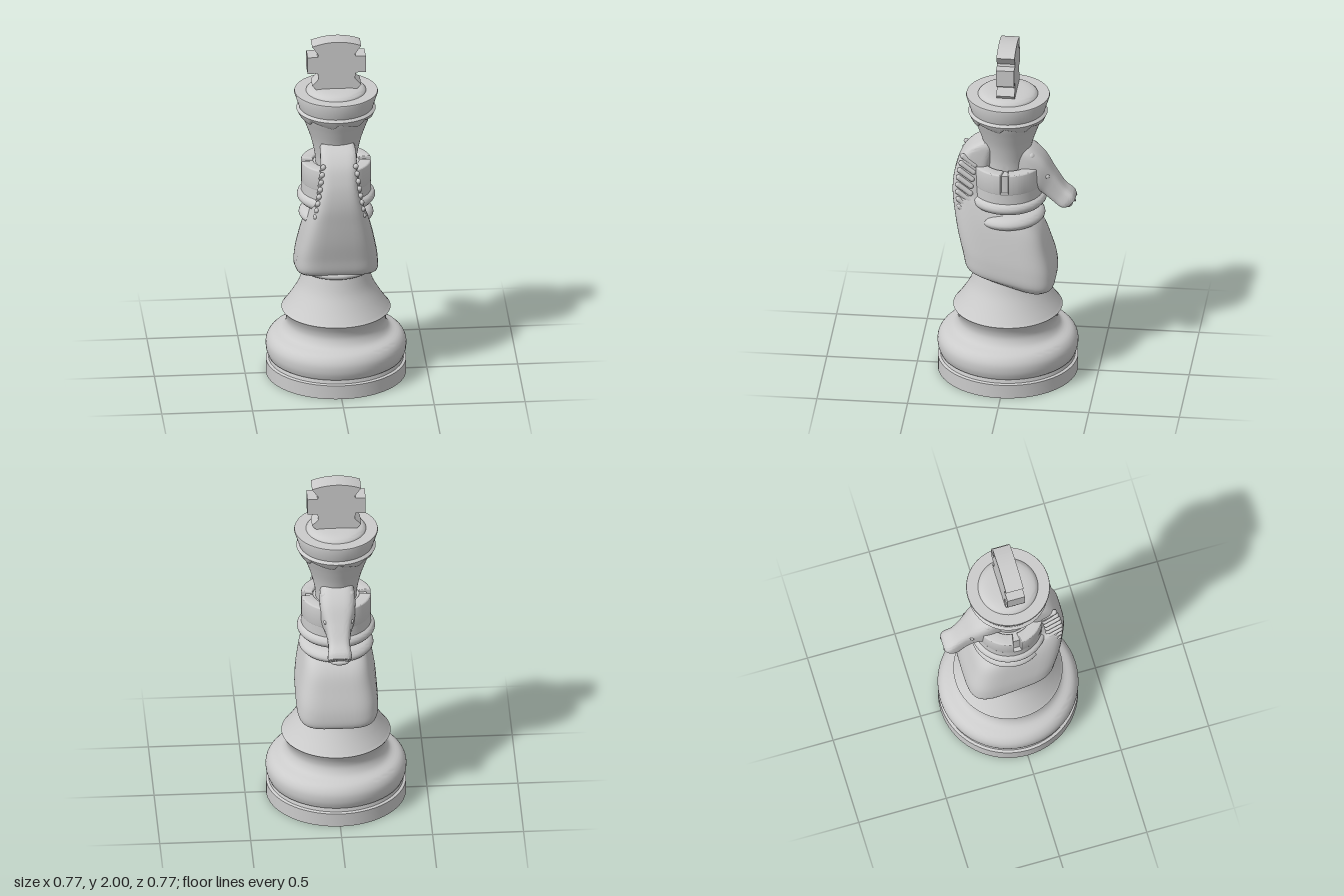
import * as THREE from 'three';
import { toCreasedNormals } from 'three/addons/utils/BufferGeometryUtils.js';

const material = new THREE.MeshStandardMaterial({ color: 0xcccccc });

export function createModel() {
  const model = new THREE.Group();
  const add = (name, geometry, x = 0, y = 0, z = 0) => {
    const mesh = new THREE.Mesh(geometry, material);
    mesh.name = name;
    mesh.position.set(x, y, z);
    model.add(mesh);
    return mesh;
  };
  const lathe = (points, segments = 72) => toCreasedNormals(
    new THREE.LatheGeometry(points.map(p => new THREE.Vector2(...p)), segments), 0.6);

  // Smooth curve through profile points
  const smooth = (points, n) => new THREE.SplineCurve(points.map(p => new THREE.Vector2(...p)))
    .getPoints(n).map(p => [p.x, p.y]);

  // Loft of rounded-square sections: [z, y of one edge, z, y of opposite edge, half width]
  function loft(sections, steps, power) {
    const N = 48, pos = [], idx = [];
    const edgeA = new THREE.CatmullRomCurve3(sections.map(s => new THREE.Vector3(s[4], s[1], s[0])));
    const edgeB = new THREE.CatmullRomCurve3(sections.map(s => new THREE.Vector3(s[4], s[3], s[2])));
    const bend = v => Math.sign(v) * Math.abs(v) ** (2 / power);
    for (let i = 0; i <= steps; i++) {
      const a = edgeA.getPoint(i / steps), b = edgeB.getPoint(i / steps);
      for (let j = 0; j < N; j++) {
        const t = j / N * Math.PI * 2, s = bend(Math.sin(t));
        pos.push(a.x * bend(Math.cos(t)),
          (a.y + b.y) / 2 + s * (a.y - b.y) / 2,
          (a.z + b.z) / 2 + s * (a.z - b.z) / 2);
      }
    }
    for (let i = 0; i < steps; i++) for (let j = 0; j < N; j++) {
      const k = (j + 1) % N, p = i * N, q = p + N;
      idx.push(p + j, q + j, p + k, p + k, q + j, q + k);
    }
    const last = steps * N;
    for (let j = 1; j < N - 1; j++) idx.push(0, j, j + 1, last, last + j + 1, last + j);
    const g = new THREE.BufferGeometry();
    g.setAttribute('position', new THREE.Float32BufferAttribute(pos, 3));
    g.setIndex(idx);
    return toCreasedNormals(g, 0.7);
  }

  // Turned base
  add('base', lathe([
    [0, 0], [0.385, 0], [0.385, 0.08], [0.37, 0.085], [0.365, 0.105],
    ...smooth([[0.372, 0.11], [0.385, 0.15], [0.383, 0.2], [0.355, 0.24], [0.3, 0.265],
      [0.275, 0.305], [0.277, 0.345], [0.295, 0.385]], 28),
    [0.3, 0.39],
    ...smooth([[0.295, 0.395], [0.25, 0.46], [0.205, 0.54], [0.178, 0.63]], 12),
    ...smooth([[0.2, 0.635], [0.217, 0.65], [0.212, 0.67], [0.18, 0.68]], 8), [0, 0.68],
  ]));

  // Horse body and neck, from the sloping underside up to the poll
  add('horseBody', loft([
    [0.195, 0.66, -0.22, 0.53, 0.195],
    [0.222, 0.685, -0.262, 0.56, 0.222],
    [0.242, 0.77, -0.265, 0.64, 0.222],
    [0.268, 0.88, -0.235, 0.76, 0.203],
    [0.288, 1.0, -0.19, 0.88, 0.175],
    [0.3, 1.1, -0.12, 0.95, 0.145],
    [0.297, 1.18, 0.08, 1.04, 0.115],
    [0.283, 1.25, 0.1, 1.2, 0.102],
    [0.25, 1.33, 0.08, 1.33, 0.1],
    [0.2, 1.385, 0.06, 1.395, 0.097],
    [0.14, 1.42, 0.04, 1.42, 0.088],
  ], 60, 4.2));

  // Horse head emerging on the far side of the tower
  add('horseHead', loft([
    [-0.05, 1.42, -0.05, 1.2, 0.09],
    [-0.13, 1.385, -0.11, 1.19, 0.098],
    [-0.2, 1.325, -0.155, 1.14, 0.092],
    [-0.265, 1.225, -0.2, 1.1, 0.068],
    [-0.32, 1.145, -0.255, 1.05, 0.06],
    [-0.365, 1.105, -0.3, 1.02, 0.066],
    [-0.377, 1.08, -0.33, 1.025, 0.06],
  ], 36, 3.6));
  const lip = add('lowerLip', new THREE.SphereGeometry(1, 20, 14), 0, 1.035, -0.335);
  lip.scale.set(0.052, 0.018, 0.024);

  for (const side of [1, -1]) {
    add('ear', new THREE.SphereGeometry(0.022, 16, 12), side * 0.07, 1.345, -0.135);
    add('eye', new THREE.SphereGeometry(0.013, 14, 10), side * 0.07, 1.225, -0.225);
    const nostril = add('nostril', new THREE.TorusGeometry(0.012, 0.004, 8, 18), side * 0.033, 1.075, -0.369);
    nostril.rotation.x = 0.5;
    // Mane locks slanting down the neck
    for (let i = 0; i < 8; i++) {
      const t = i / 7, y = 1.33 - 0.29 * t, x = side * (0.09 + 0.042 * t);
      const z = 0.205 + 0.025 * Math.sin(t * Math.PI * 0.8);
      const lock = add('maneLock', new THREE.CapsuleGeometry(0.015, 0.085, 5, 10), x, y - 0.02, z);
      lock.rotation.x = 0.93;
    }
  }

  // Ring below the tower
  add('lowerRing', lathe([[0, 0.91], ...smooth([[0.1, 0.915], [0.17, 0.927], [0.205, 0.96],
    [0.18, 0.995], [0.11, 1.005]], 20), [0.1, 1.03]]));

  // Tower drum with its flared foot
  add('towerDrum', lathe([
    [0.09, 0.99], [0.12, 1.01], [0.17, 1.03],
    ...smooth([[0.195, 1.037], [0.213, 1.06], [0.21, 1.085], [0.192, 1.1]], 10),
    [0.192, 1.16], [0.168, 1.16], [0.168, 1.262], [0, 1.265],
  ]));

  // Four battlements separated by narrow slots
  const gap = 0.16;
  for (let i = 0; i < 4; i++) {
    const a = i * Math.PI / 2 + gap, b = (i + 1) * Math.PI / 2 - gap;
    const shape = new THREE.Shape();
    shape.absarc(0, 0, 0.185, a, b, false);
    shape.absarc(0, 0, 0.135, b, a, true);
    const g = new THREE.ExtrudeGeometry(shape, {
      depth: 0.108, curveSegments: 18, bevelSize: 0.008, bevelThickness: 0.008, bevelSegments: 3,
    });
    g.rotateX(-Math.PI / 2);
    add('battlement', toCreasedNormals(g, 0.6), 0, 1.162, 0);
  }

  // Flared crown
  add('crown', lathe([
    ...smooth([[0.112, 1.25], [0.118, 1.32], [0.138, 1.41], [0.165, 1.49], [0.188, 1.55], [0.203, 1.6]], 24),
    [0.23, 1.685], [0.228, 1.692], [0.165, 1.692],
    ...smooth([[0.163, 1.697], [0.145, 1.711], [0.1, 1.72], [0, 1.722]], 10),
  ]));

  // Saw-toothed lip around the crown
  const band = new THREE.LatheGeometry([[0.16, 1.555], [0.2, 1.553], [0.211, 1.562], [0.218, 1.587], [0.2, 1.602]]
    .map(p => new THREE.Vector2(...p)), 128);
  const p = band.attributes.position;
  for (let i = 0; i < p.count; i++) {
    if (p.getY(i) > 1.58) continue;
    const f = (Math.atan2(p.getX(i), p.getZ(i)) / (Math.PI * 2) + 1) * 8 % 1;
    const drop = 0.03 * (f < 0.8 ? f / 0.8 : (1 - f) / 0.2);
    const k = 1 - drop * 1.9;
    p.setXYZ(i, p.getX(i) * k, p.getY(i) + 0.012 - drop, p.getZ(i) * k);
  }
  add('crownTeeth', toCreasedNormals(band, 0.6));

  // Flared cross
  const half = [[0.11, 1.715], [0.135, 1.742], [0.1, 1.78], [0.105, 1.815], [0.16, 1.815],
    [0.16, 1.912], [0.105, 1.912], [0.1, 1.925], [0.135, 1.975]];
  const cross = new THREE.Shape();
  cross.moveTo(...half[0]);
  half.slice(1).forEach(q => cross.lineTo(...q));
  cross.quadraticCurveTo(0, 2.025, -0.135, 1.975);
  half.slice(0, -1).reverse().forEach(([x, y]) => cross.lineTo(-x, y));
  cross.closePath();
  add('cross', new THREE.ExtrudeGeometry(cross, { depth: 0.1, bevelEnabled: false, curveSegments: 16 }), 0, 0, -0.05);

  return model;
}
